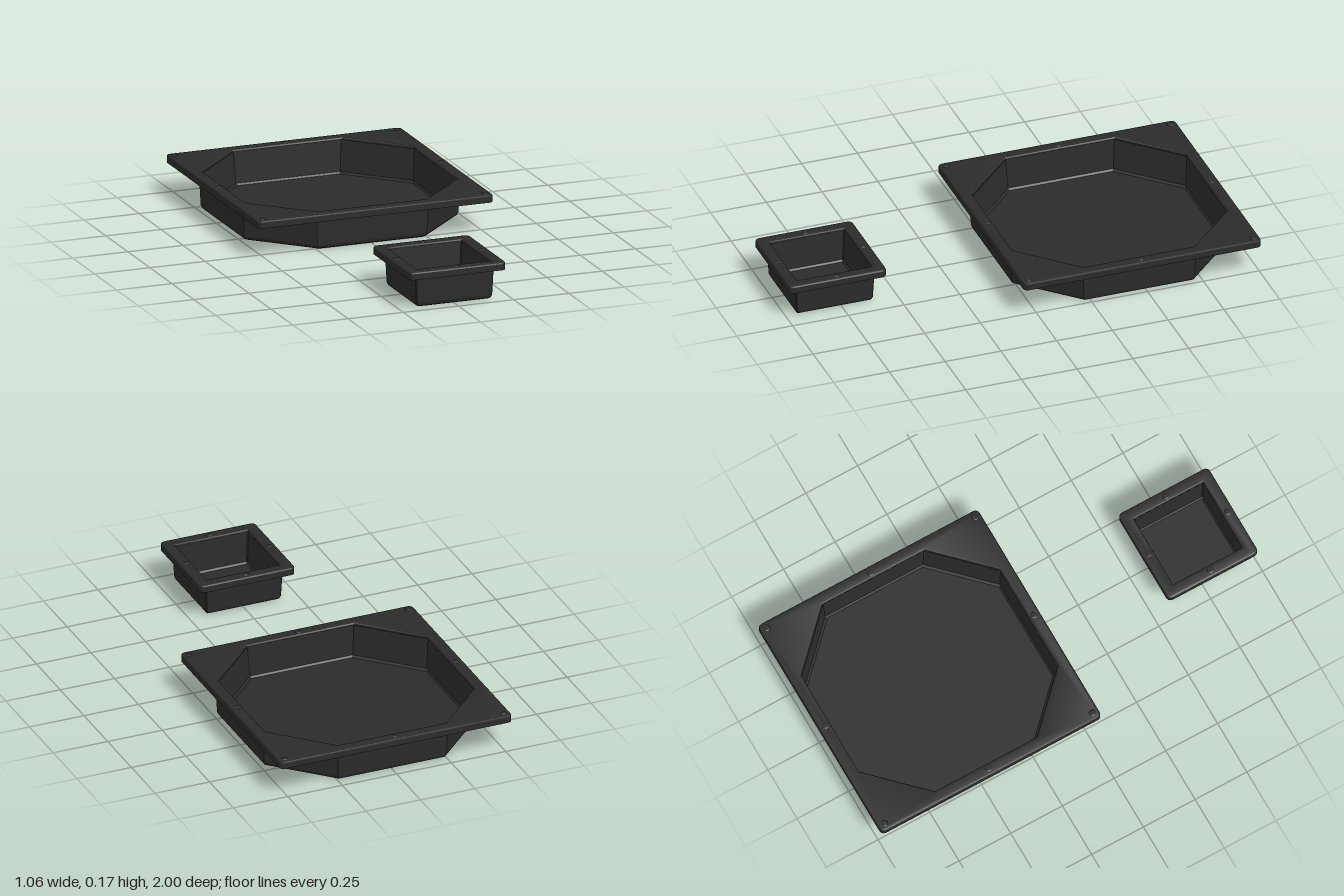
import * as THREE from 'three';
import { toCreasedNormals } from 'three/addons/utils/BufferGeometryUtils.js';

const RIM_TOP = 0.168, RIM_BOTTOM = 0.135;

// Corners of a square with its corners cut off; h = half width, cut = corner cut
function cutSquare(h, cut) {
  if (h === 0) return Array.from({ length: 8 }, () => [0, 0]);
  const c = h - cut;
  return [[h, -c], [h, c], [c, h], [-c, h], [-h, c], [-h, -c], [-c, -h], [c, -h]];
}

function roundedSquare(h, r, Type = THREE.Shape) {
  const s = new Type(), c = h - r;
  s.absarc(c, c, r, 0, Math.PI / 2);
  s.absarc(-c, c, r, Math.PI / 2, Math.PI);
  s.absarc(-c, -c, r, Math.PI, Math.PI * 1.5);
  s.absarc(c, -c, r, Math.PI * 1.5, Math.PI * 2);
  s.closePath();
  return s;
}

// Extrude a flat outline upwards from y
function slab(shape, y, options) {
  const g = new THREE.ExtrudeGeometry(shape, { curveSegments: 5, bevelEnabled: false, ...options });
  g.rotateX(-Math.PI / 2);
  g.translate(0, y, 0);
  return toCreasedNormals(g, 0.6);
}

// Thin-walled pan: outside from the bottom up, over the edge, down the inside
function basinGeometry(h, cut) {
  const profile = [
    [0, 0], [h - 0.009, 0], [h - 0.001, 0.005], [h + 0.004, 0.018],
    [h + 0.01, 0.158], [h, 0.158],
    [h - 0.008, 0.022], [h - 0.015, 0.014], [0, 0.014]
  ];
  const pos = [], index = [];
  profile.forEach(([r, y]) => cutSquare(r, cut).forEach(([x, z]) => pos.push(x, y, z)));
  for (let j = 0; j < profile.length - 1; j++) {
    for (let i = 0; i < 8; i++) {
      const n = (i + 1) % 8;
      const a = j * 8 + i, b = j * 8 + n, c = a + 8, d = b + 8;
      if (j < profile.length - 2) index.push(a, c, d);
      if (j > 0) index.push(a, d, b);
    }
  }
  const g = new THREE.BufferGeometry();
  g.setAttribute('position', new THREE.Float32BufferAttribute(pos, 3));
  g.setIndex(index);
  const flat = g.toNonIndexed();
  flat.computeVertexNormals();
  return flat;
}

function createTray(name, material, { half, opening, cut, studs }) {
  const tray = new THREE.Group();
  tray.name = name;
  const add = (part, geometry) => {
    const m = new THREE.Mesh(geometry, material);
    m.name = part;
    tray.add(m);
    return m;
  };

  add('basin', basinGeometry(opening, cut));

  // Flat flange with softened edges
  const b = 0.006;
  const plate = roundedSquare(half - b, 0.015);
  const hole = cutSquare(opening + b, cut).map(([x, y]) => new THREE.Vector2(x, y));
  plate.holes.push(new THREE.Path(hole));
  add('flange', slab(plate, RIM_TOP - b - 0.002, {
    depth: 0.002, bevelEnabled: true, bevelSize: b, bevelThickness: b, bevelSegments: 3
  }));

  // Lip hanging from the flange edge
  const lip = roundedSquare(half, 0.021);
  lip.holes.push(roundedSquare(half - 0.012, 0.01, THREE.Path));
  add('flangeLip', slab(lip, RIM_BOTTOM, { depth: RIM_TOP - b - RIM_BOTTOM }));

  // Low studs on the flange
  const stud = new THREE.CylinderGeometry(0.01, 0.016, 0.004, 16);
  studs.forEach(([x, z]) => add('stud', stud).position.set(x, RIM_TOP + 0.001, z));
  return tray;
}

export function createModel() {
  const model = new THREE.Group();
  model.name = 'trays';
  const black = new THREE.MeshStandardMaterial({ color: 0x2b2b2b });
  black.name = 'black plastic';

  const sides = (d) => [[d, 0], [-d, 0], [0, d], [0, -d]];
  const corners = (d) => [[d, d], [-d, d], [d, -d], [-d, -d]];

  const large = createTray('largeTray', black, {
    half: 0.532, opening: 0.481, cut: 0.237, studs: [...sides(0.503), ...corners(0.503)]
  });
  large.position.z = -0.468;

  const small = createTray('smallTray', black, {
    half: 0.218, opening: 0.168, cut: 0.004, studs: sides(0.19)
  });
  small.position.z = 0.782;

  model.add(large, small);
  return model;
}
